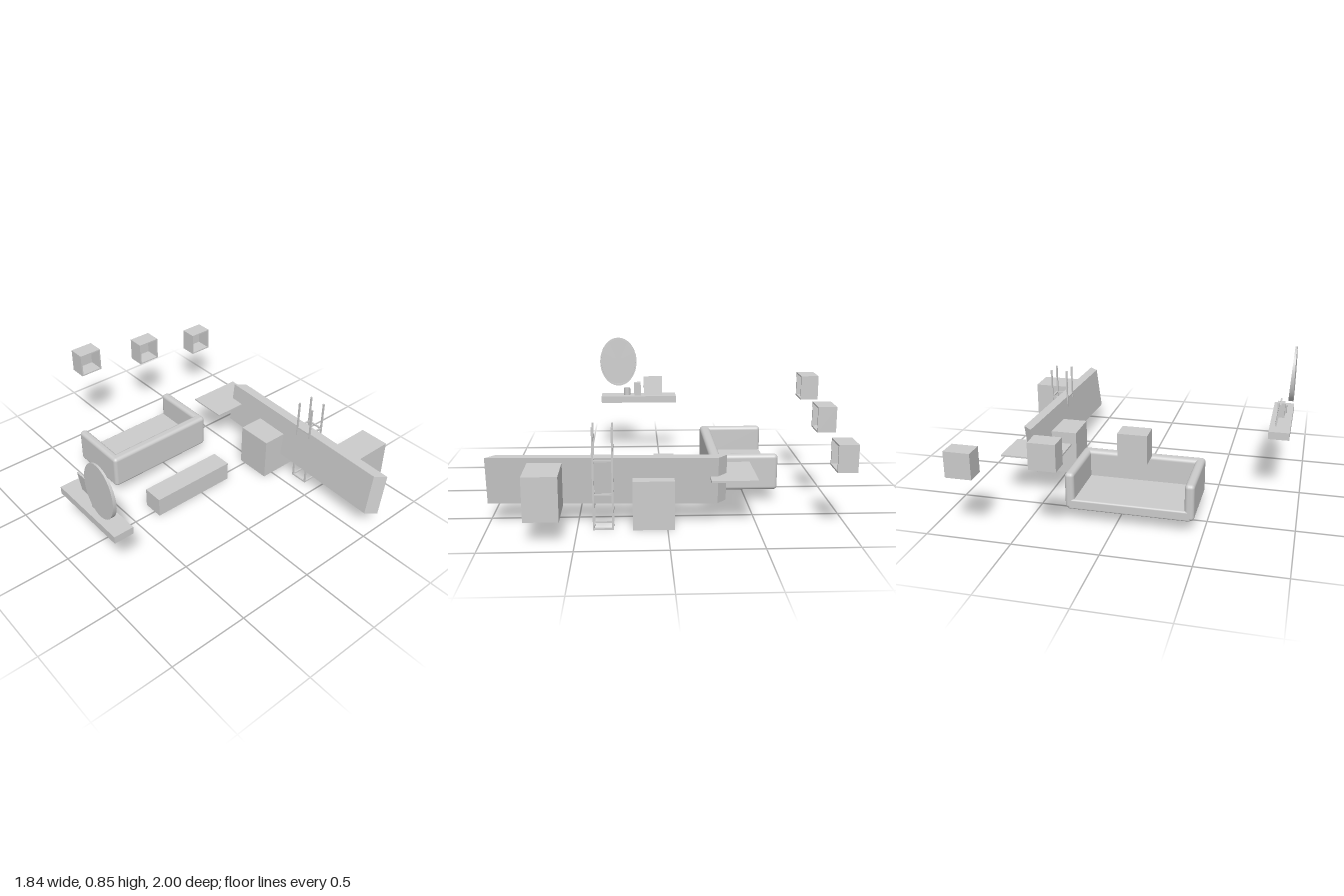
import * as THREE from 'three';
import { toCreasedNormals } from 'three/addons/utils/BufferGeometryUtils.js';
import { RoundedBoxGeometry } from 'three/addons/geometries/RoundedBoxGeometry.js';

const material = new THREE.MeshStandardMaterial({ color: 0xcccccc });

function add(parent, name, geometry, x = 0, y = 0, z = 0) {
  const mesh = new THREE.Mesh(geometry, material);
  mesh.name = name;
  mesh.position.set(x, y, z);
  parent.add(mesh);
  return mesh;
}

// Box given by its extents on each axis; a radius rounds its edges
function span(parent, name, [x0, x1], [y0, y1], [z0, z1], radius = 0) {
  const size = [x1 - x0, y1 - y0, z1 - z0];
  const geometry = radius ? new RoundedBoxGeometry(...size, 4, radius) : new THREE.BoxGeometry(...size);
  return add(parent, name, geometry, (x0 + x1) / 2, (y0 + y1) / 2, (z0 + z1) / 2);
}

function group(parent, name) {
  const g = new THREE.Group();
  g.name = name;
  parent.add(g);
  return g;
}

// Apply a rule to every vertex
function reshape(geometry, rule) {
  const p = geometry.attributes.position;
  const v = new THREE.Vector3();
  for (let i = 0; i < p.count; i++) {
    rule(v.fromBufferAttribute(p, i));
    p.setXYZ(i, v.x, v.y, v.z);
  }
  geometry.computeVertexNormals();
  return geometry;
}

export function createModel() {
  const model = new THREE.Group();
  model.name = 'livingRoom';

  // Sofa, open towards the back of the room
  const sofa = group(model, 'sofa');
  span(sofa, 'sofaBack', [-0.45, 0.295], [0.08, 0.3], [-0.335, -0.27], 0.022);
  span(sofa, 'sofaArm', [-0.45, -0.395], [0.08, 0.3], [-0.68, -0.27], 0.022);
  span(sofa, 'sofaArm', [0.24, 0.295], [0.08, 0.3], [-0.68, -0.27], 0.022);
  span(sofa, 'sofaSeat', [-0.43, 0.275], [0.08, 0.14], [-0.68, -0.29], 0.01);

  // Low bench and storage boxes
  span(model, 'bench', [-0.35, 0.225], [0, 0.13], [-0.085, 0.05]);
  span(model, 'floorCabinet', [0.43, 0.718], [0, 0.28], [-0.038, 0.193]);
  span(model, 'raisedCabinet', [0.665, 0.918], [0.13, 0.377], [0.577, 0.767]);
  span(model, 'tableTop', [0.395, 0.752], [0.28, 0.29], [-0.493, -0.235]);

  // Long leaning partition with skewed ends
  const partition = reshape(new THREE.BoxGeometry(2, 2, 2), v => {
    const { x, y, z } = v;
    v.set(0.613 + 0.03 * x + 0.017 * y - 0.021 * z, 0.263 + 0.137 * y, 0.334 + 0.64 * z + 0.026 * x);
  });
  add(model, 'partition', partition);

  // Four-post ladder rack with three square frames
  const rack = group(model, 'rack');
  const xs = [0.597, 0.703], zs = [0.302, 0.408], bar = 0.005;
  for (const x of xs) for (const z of zs) {
    span(rack, 'rackPost', [x - bar, x + bar], [0, 0.583], [z - bar, z + bar]);
  }
  for (const y of [0.006, 0.203, 0.395]) {
    for (const x of xs) span(rack, 'rackRung', [x - bar, x + bar], [y - bar, y + bar], zs);
    for (const z of zs) span(rack, 'rackRung', xs, [y - bar, y + bar], [z - bar, z + bar]);
  }

  // Wall cubes, open to the front
  const t = 0.009, side = 0.153;
  for (const [x, y] of [[-0.26, 0.55], [0.222, 0.456], [0.702, 0.36]]) {
    const cube = group(model, 'wallCube');
    const X = [x, x + side], Y = [y, y + side], Z = [-1, -0.89];
    span(cube, 'cubeBack', X, Y, [-1, -1 + t]);
    for (const a of [0, side - t]) {
      span(cube, 'cubeSide', [x + a, x + a + t], Y, Z);
      span(cube, 'cubeShelf', X, [y + a, y + a + t], Z);
    }
  }

  // Wall shelf with ornaments
  const shelf = group(model, 'wallShelf');
  span(shelf, 'shelfBoard', [-0.92, -0.795], [0.39, 0.437], [-0.125, 0.415]);
  add(shelf, 'jar', new THREE.CylinderGeometry(0.023, 0.023, 0.053, 24), -0.86, 0.463, 0.23);
  span(shelf, 'ornamentBox', [-0.873, -0.827], [0.437, 0.53], [0.13, 0.178]);
  const frame = span(shelf, 'pictureFrame', [-0.846, -0.836], [0.437, 0.575], [-0.027, 0.108]);
  frame.rotation.z = 0.15;

  // Oval mirror: raised rim, thicker towards the bottom
  const profile = [[0, 0], [1, 0], [1, 1], [0.93, 1], [0.93, 0.55], [0, 0.55]].map(p => new THREE.Vector2(...p));
  const mirror = new THREE.LatheGeometry(profile, 48).rotateZ(-Math.PI / 2);
  reshape(mirror, v => {
    const thickness = 0.022 - 0.01 * v.y;
    v.set(-0.918 + v.x * thickness, 0.675 + 0.175 * v.y, 0.292 + 0.133 * v.z);
  });
  add(model, 'mirror', toCreasedNormals(mirror, 0.6));

  return model;
}
